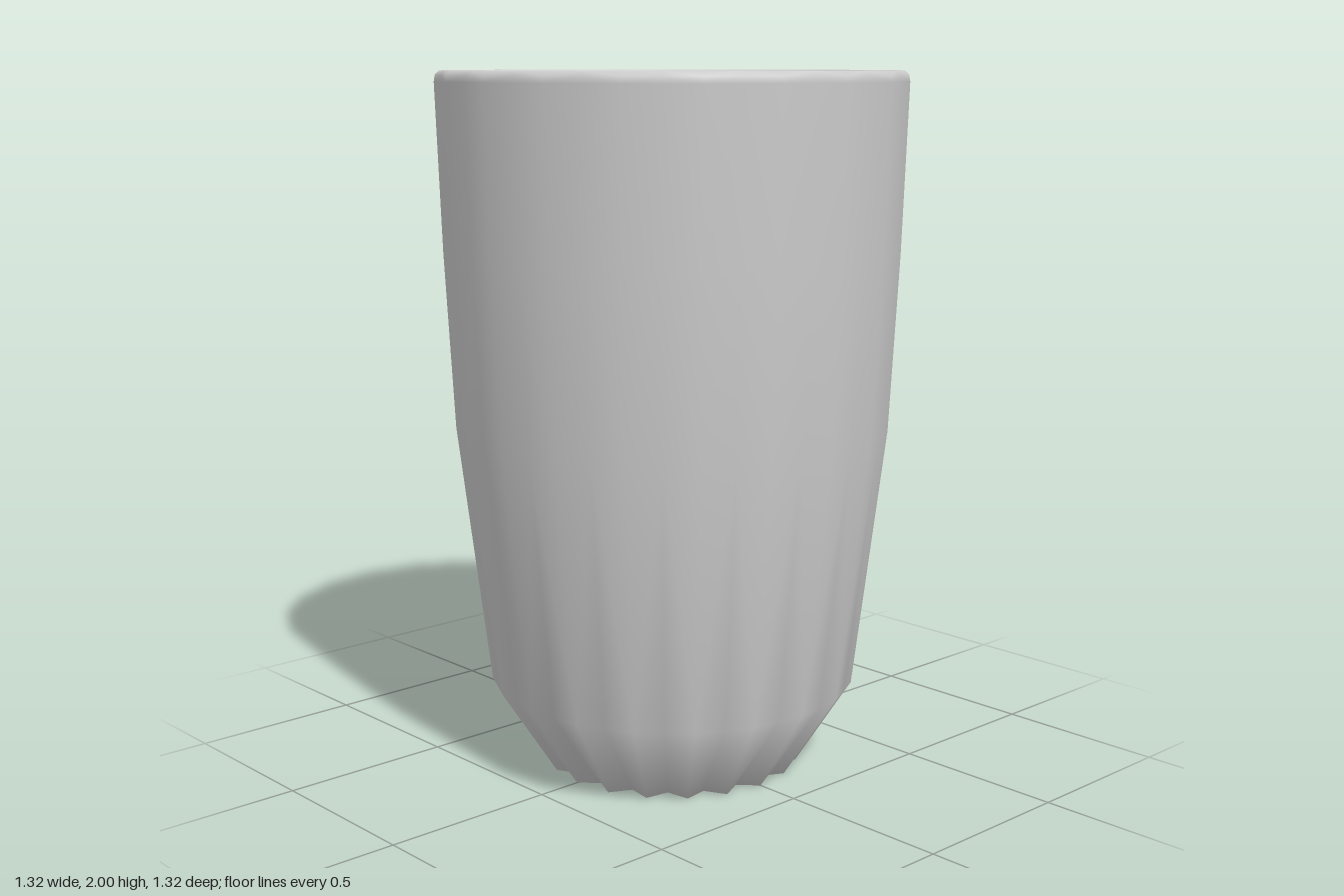
import * as THREE from 'three';

const FLUTES = 20;
const STEPS = FLUTES * 2; // one vertex on each ridge, one in each groove
const FLAT = Math.cos(Math.PI / FLUTES); // keeps the wall 20-sided between ridges

// Rings from the underside, up the outer wall, over the rim and down inside:
// [ridge radius, height, groove radius factor]
const RINGS = [
  [0.29, 0, FLAT],
  [0.37, 0, 0.875],
  [0.53, 0.25, FLAT],
  [0.62, 1.0, FLAT],
  [0.645, 1.5, FLAT],
  [0.66, 1.97, FLAT],
  [0.657, 1.988, FLAT],
  [0.645, 2.0, FLAT],
  [0.625, 2.0, FLAT],
  [0.612, 1.988, FLAT],
  [0.61, 1.97, FLAT],
  [0.595, 1.5, FLAT],
  [0.57, 1.0, FLAT],
  [0.482, 0.27, FLAT],
  [0.345, 0.05, 0.89],
  [0.26, 0.05, FLAT],
];

// Closed skin of revolution with a pinched vertex in every groove
function cupGeometry() {
  const pos = [];
  const index = [];
  for (const [r, y, groove] of RINGS) {
    for (let i = 0; i < STEPS; i++) {
      const a = (i / STEPS) * Math.PI * 2;
      const radius = i % 2 ? r * groove : r;
      pos.push(Math.sin(a) * radius, y, Math.cos(a) * radius);
    }
  }
  const under = RINGS.length * STEPS;
  const floor = under + 1;
  pos.push(0, 0, 0, 0, 0.05, 0);

  for (let i = 0; i < STEPS; i++) {
    const n = (i + 1) % STEPS;
    for (let k = 0; k < RINGS.length - 1; k++) {
      const a = k * STEPS + i, b = k * STEPS + n;
      const c = a + STEPS, d = b + STEPS;
      // split each quad so both sides of a groove mirror each other
      if (i % 2) index.push(a, b, c, b, d, c);
      else index.push(a, b, d, a, d, c);
    }
    // underside and inner floor discs
    index.push(under, n, i);
    const last = (RINGS.length - 1) * STEPS;
    index.push(floor, last + i, last + n);
  }

  const g = new THREE.BufferGeometry();
  g.setAttribute('position', new THREE.Float32BufferAttribute(pos, 3));
  g.setIndex(index);
  g.computeVertexNormals();
  return g;
}

export function createModel() {
  const group = new THREE.Group();
  group.name = 'tumbler';
  const cup = new THREE.Mesh(
    cupGeometry(),
    new THREE.MeshStandardMaterial({ color: 0xcccccc })
  );
  cup.name = 'flutedCup';
  group.add(cup);
  return group;
}
